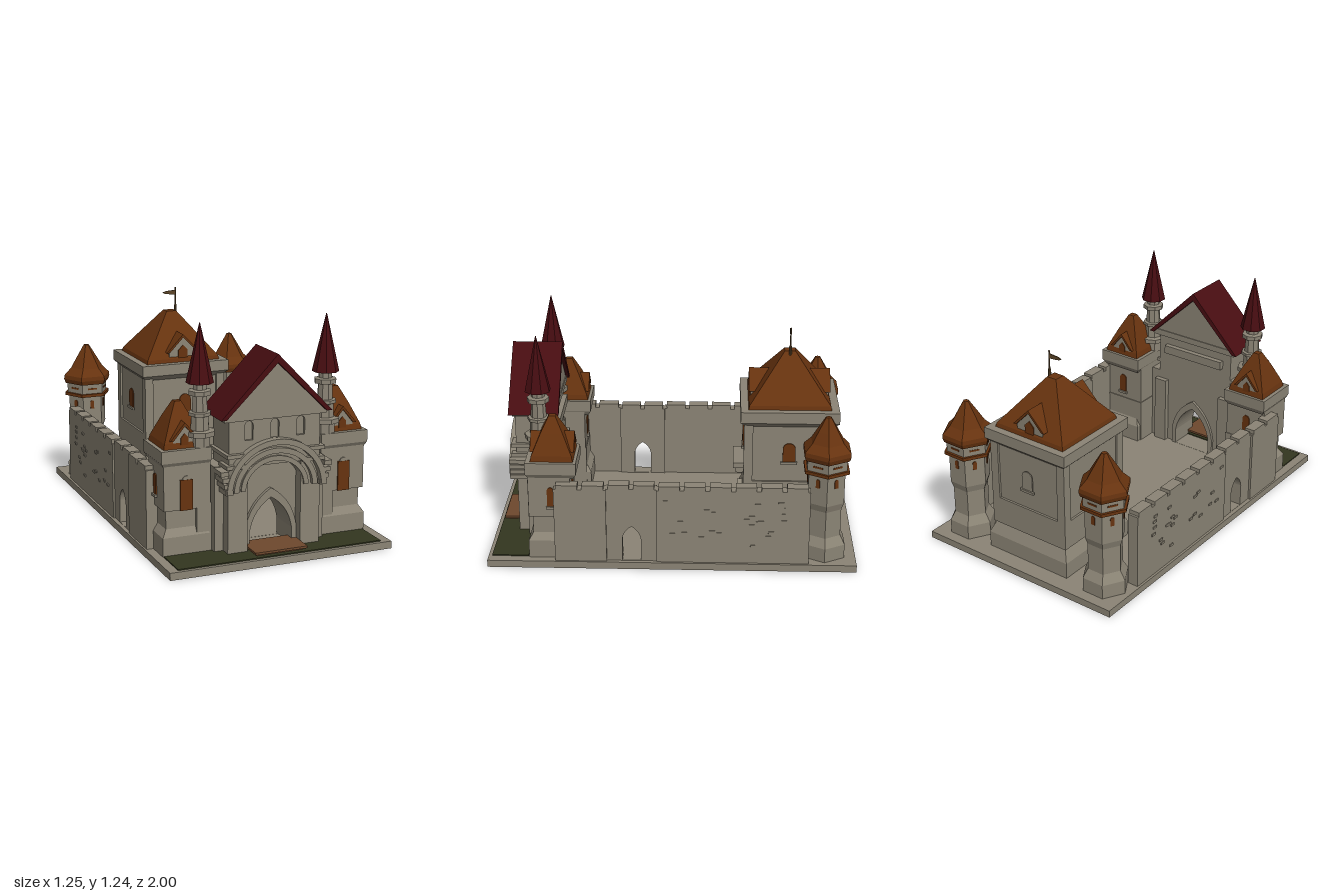
import * as THREE from 'three';

const mat = (name, color) => {
  const m = new THREE.MeshStandardMaterial({ color });
  m.name = name;
  return m;
};
const stone = mat('stone', 0x8b8475), tile = mat('orange tile', 0x67330f), red = mat('dark red tile', 0x470d11);
const grass = mat('grass', 0x33361f), plank = mat('plank wood', 0x6e482d), bronze = mat('flag bronze', 0x5c4528);

function add(parent, name, geometry, material, x = 0, y = 0, z = 0, ry = 0) {
  const m = new THREE.Mesh(geometry, material);
  m.name = name;
  m.position.set(x, y, z);
  m.rotation.y = ry;
  parent.add(m);
  return m;
}
const box = (p, name, m, x0, x1, y0, y1, z0, z1) =>
  add(p, name, new THREE.BoxGeometry(Math.abs(x1 - x0), y1 - y0, Math.abs(z1 - z0)), m, (x0 + x1) / 2, (y0 + y1) / 2, (z0 + z1) / 2);

// Faceted solid of revolution; pts run bottom to top as [radius, y]
function faceted(pts, sides, turn = 0) {
  const p = [[0, pts[0][1]], ...pts, [0, pts[pts.length - 1][1]]].map(([r, y]) => new THREE.Vector2(r, y));
  const g = new THREE.LatheGeometry(p, sides).toNonIndexed();
  g.rotateY(turn);
  g.computeVertexNormals();
  return g;
}
// Square section from half-widths
const square = pts => faceted(pts.map(([h, y]) => [h * Math.SQRT2, y]), 4, Math.PI / 4);
const extrude = (shape, depth) => new THREE.ExtrudeGeometry(shape, { depth, bevelEnabled: false, curveSegments: 12 });
const poly = pts => new THREE.Shape(pts.map(([x, y]) => new THREE.Vector2(x, y)));

// Arched opening outline: pointed, or round-headed
function arch(Kind, cx, w, y0, y1, pointed) {
  const s = new Kind(), h = w / 2, spring = y1 - (pointed ? w * 0.75 : h);
  s.moveTo(cx - h, y0);
  s.lineTo(cx + h, y0);
  s.lineTo(cx + h, spring);
  if (pointed) {
    s.quadraticCurveTo(cx + h * 0.85, y1 - w * 0.25, cx, y1);
    s.quadraticCurveTo(cx - h * 0.85, y1 - w * 0.25, cx - h, spring);
  } else s.absarc(cx, spring, h, 0, Math.PI, false);
  s.closePath();
  return s;
}
// Arched window plate on a face turned by ry, with a sill
function archWindow(p, w, y0, y1, x, z, ry, m = tile) {
  const g = new THREE.Group();
  g.name = 'window';
  g.position.set(x, 0, z);
  g.rotation.y = ry;
  add(g, 'windowPane', extrude(arch(THREE.Shape, 0, w, y0, y1), 0.006), m);
  box(g, 'windowSill', stone, -w * 0.65, w * 0.65, y0 - 0.014, y0, 0, 0.014);
  p.add(g);
}
// Gabled dormer, front at local z = 0, running back by depth
function dormer(p, w, h, depth, x, y, z, ry) {
  const g = new THREE.Group(), t = 0.018;
  g.name = 'dormer';
  g.position.set(x, y, z);
  g.rotation.y = ry;
  const k = h * 0.45;
  add(g, 'dormerWall', extrude(poly([[-w, 0], [w, 0], [w, k], [0, h], [-w, k]]), depth), stone, 0, 0, -depth);
  add(g, 'dormerRoof', extrude(poly([[-w - t, k - 0.012], [-w, k - 0.012], [0, h], [w, k - 0.012], [w + t, k - 0.012], [0, h + t]]), depth + 0.01), tile, 0, 0, -depth);
  add(g, 'dormerWindow', extrude(poly([[-w * .34, .015], [w * .34, .015], [w * .34, k], [0, h * .66], [-w * .34, k]]), 0.005), tile);
  p.add(g);
}

function buildGatehouse(root) {
  const g = new THREE.Group();
  g.name = 'gatehouse';
  root.add(g);
  // Lower wall with open gate
  const wall = poly([[-.31, .04], [.31, .04], [.31, .5], [-.31, .5]]);
  wall.holes.push(arch(THREE.Path, 0, .24, .04, .31, true));
  add(g, 'gateWall', extrude(wall, .15), stone, 0, 0, .66);
  const frame = arch(THREE.Shape, 0, .294, .04, .36, true);
  frame.holes.push(arch(THREE.Path, 0, .24, .041, .31, true));
  for (const z of [.81, .645]) add(g, 'gateFrame', extrude(frame, .02), stone, 0, 0, z);
  // Upper storey with recessed windows
  box(g, 'upperStorey', stone, -.255, .255, .5, .75, .66, .855);
  const face = poly([[-.255, .5], [.255, .5], [.255, .75], [-.255, .75]]);
  for (const x of [-.145, 0, .145]) face.holes.push(arch(THREE.Path, x, .046, .64, .74));
  add(g, 'upperFace', extrude(face, .015), stone, 0, 0, .855);
  box(g, 'eaveLedge', stone, -.285, .285, .745, .78, .64, .88);
  box(g, 'rearBeam', stone, -.2, .2, .64, .69, .63, .66);
  // Ribbed arches over the gate
  for (const [rx, ry, t, z] of [[.28, .265, .03, .91], [.235, .215, .028, .895], [.19, .17, .026, .88]]) {
    const rib = new THREE.Shape();
    rib.absellipse(0, .375, rx, ry, 0, Math.PI, false, 0);
    rib.absellipse(0, .375, rx - t, ry - t, Math.PI, 0, true, 0);
    rib.closePath();
    add(g, 'archRib', extrude(rib, .09), stone, 0, 0, z - .09);
  }
  for (const s of [-1, 1]) {
    box(g, 'gatePillar', stone, s * .15, s * .26, .04, .52, .8, .87);
    box(g, 'rearButtress', stone, s * .19, s * .27, .04, .45, .63, .66);
    box(g, 'lowerBand', stone, s * .15, s * .275, .5, .52, .78, .895);
    box(g, 'upperBand', stone, s * .17, s * .275, .557, .577, .66, .895);
    for (let i = 0; i < 4; i++)
      box(g, 'corbelStep', stone, s * (.245 + i * .008), s * (.285 + i * .009), .37 + i * .034, .394 + i * .034, .8, .905);
  }
  // Gable and steep roof
  add(g, 'gable', extrude(poly([[-.275, .775], [.275, .775], [0, 1.035]]), .235), stone, 0, 0, .645);
  add(g, 'gateRoof', extrude(poly([[-.31, .762], [-.28, .762], [0, 1.035], [.28, .762], [.31, .762], [0, 1.08]]), .275), red, 0, 0, .625);
  // Lawn and entrance boards
  box(root, 'lawn', grass, -.575, .57, .04, .046, .78, .98);
  const ramp = box(root, 'entranceBoards', plank, -.147, .147, .058, .07, .78, .97);
  box(root, 'boardSupport', plank, -.13, .13, .046, .058, .9, .95);
  ramp.rotation.x = .01;
}

function buildFrontTower(root, s) {
  const g = new THREE.Group(), cx = .448, cz = .645;
  g.name = 'frontTower';
  root.add(g);
  // Battered foot, recessed waist, wide upper body and cornice
  add(g, 'towerFoot', square([[.13, .04], [.13, .14], [.105, .18], [.105, .3]]), stone, s * cx, 0, cz);
  box(g, 'towerInnerFlank', stone, s * .31, s * .39, .04, .3, .54, .77);
  box(g, 'towerBody', stone, s * .315, s * .57, .28, .53, .545, .77);
  add(g, 'towerCornice', square([[.118, .505], [.136, .535], [.136, .6]]), stone, s * cx, 0, cz);
  add(g, 'towerRoof', square([[.115, .598], [.108, .63], [.06, .74], [.018, .825]]), tile, s * cx, 0, cz - .005);
  dormer(g, .062, .115, .09, s * cx, .602, cz + .103, 0);
  dormer(g, .062, .115, .09, s * cx, .602, cz - .113, Math.PI);
  // Shuttered front window and arched side and rear windows
  box(g, 'frontShutter', tile, s * .415, s * .483, .278, .44, .77, .778);
  add(g, 'shutterHead', extrude(arch(THREE.Shape, 0, .045, .43, .46), .006), stone, s * cx, 0, .77);
  archWindow(g, .036, .345, .455, s * .57, .65, s * Math.PI / 2);
  archWindow(g, .045, .345, .455, s * cx, .545, Math.PI);
  // Slender turret with rings and a tall spire
  const col = [[.056, .59], [.056, .65], [.08, .655], [.08, .68], [.051, .685], [.047, .755], [.06, .76], [.06, .777], [.043, .78],
    [.039, .862], [.06, .866], [.06, .89], [.037, .895], [.037, .935]];
  add(g, 'turret', faceted(col, 8), stone, s * .355, 0, .725);
  add(g, 'turretSpire', faceted([[.072, .928], [.002, 1.235]], 8, Math.PI / 8), red, s * .355, 0, .725);
}

function buildRearTower(root, s) {
  const g = new THREE.Group(), turn = Math.PI / 2;
  g.name = 'rearTower';
  g.position.set(s * .468, 0, -.827);
  root.add(g);
  add(g, 'shaft', faceted([[.128, .04], [.128, .12], [.098, .17], [.098, .325], [.112, .365], [.112, .55]], 6, turn), stone);
  add(g, 'lowerRing', faceted([[.137, .54], [.137, .558]], 6, turn), tile);
  add(g, 'lookout', faceted([[.122, .55], [.122, .63]], 6, turn), stone);
  add(g, 'towerRoof', faceted([[.134, .615], [.143, .64], [.14, .663], [.098, .705], [.062, .765], [.016, .84]], 6, turn), tile);
  // Slits in the lookout and small windows below, one per face
  for (let i = 0; i < 6; i++) {
    const f = new THREE.Group();
    f.name = 'towerFace';
    f.rotation.y = i * Math.PI / 3;
    box(f, 'lookoutSlit', tile, -.028, .028, .582, .592, .104, .108);
    add(f, 'smallWindow', extrude(arch(THREE.Shape, 0, .022, .465, .515), .005), tile, 0, 0, .096);
    g.add(f);
  }
}

function buildKeep(root) {
  const g = new THREE.Group();
  g.name = 'keep';
  g.position.z = -.637;
  root.add(g);
  add(g, 'keepBody', square([[.268, .04], [.268, .13], [.238, .2], [.238, .7]]), stone);
  add(g, 'keepCornice', square([[.238, .685], [.27, .715], [.27, .778]]), stone);
  add(g, 'keepRoof', square([[.228, .776], [.222, .8], [.03, 1.05]]), tile);
  for (let i = 0; i < 4; i++) {
    const a = i * Math.PI / 2;
    archWindow(g, .07, .48, .59, .246 * Math.sin(a), .246 * Math.cos(a), a, i === 2 ? stone : tile);
    // Raised corner strips framing each face
    const f = new THREE.Group();
    f.name = 'keepFace';
    f.rotation.y = a;
    for (const s of [-1, 1]) box(f, 'cornerStrip', stone, s * .2, s * .25, .2, .7, .23, .25);
    box(f, 'lowerStrip', stone, -.2, .2, .2, .36, .23, .25);
    g.add(f);
  }
  for (const a of [0, Math.PI]) dormer(g, .085, .138, .14, 0, .786, .215 * Math.cos(a), a);
  // Ledge over the keep door
  box(g, 'doorLedge', stone, -.12, .12, .38, .41, .24, .305);
  for (const x of [-.09, -.03, .03, .09]) box(g, 'ledgeCorbel', stone, x - .012, x + .012, .345, .38, .24, .29);
  const surround = arch(THREE.Shape, 0, .13, .04, .26, true);
  surround.holes.push(arch(THREE.Path, 0, .09, .041, .21, true));
  add(g, 'doorSurround', extrude(surround, .03), stone, 0, 0, .25);
  // Flag on a pole
  add(g, 'flagPole', faceted([[.009, 1.03], [.008, 1.08], [.004, 1.085], [.004, 1.187]], 8), bronze, .037);
  add(g, 'flag', extrude(poly([[.037, 1.143], [.037, 1.17], [-.02, 1.166], [-.045, 1.158], [-.03, 1.15], [0, 1.146]]), .006), bronze, 0, 0, -.003);
}

function buildWalls(root, s) {
  let seed = 7;
  const rnd = () => (seed = (seed * 16807) % 2147483647) / 2147483647;
  const g = new THREE.Group();
  g.name = 'curtainWall';
  root.add(g);
  // Battlemented sections, drawn along u = -z
  for (const [u0, u1, out, n] of [[-.63, -.35, .615, 2], [-.35, -.08, .602, 2], [-.08, .74, .612, 6]]) {
    const pts = [[u0, .04], [u1, .04]], step = (u1 - u0) / n;
    for (let i = n; i > 0; i--) {
      const a = u0 + i * step, b = a - step;
      pts.push([a, .465], [a - .012, .465], [a - .012, .488], [b + .012, .488], [b + .012, .465]);
    }
    pts.push([u0, .465]);
    const shape = poly(pts);
    if (n === 2 && u1 < 0 && u0 > -.5) shape.holes.push(arch(THREE.Path, -.215, .1, .042, .245, true));
    add(g, 'wallSection', extrude(shape, .062), stone, s > 0 ? out - .062 : -out, 0, 0, Math.PI / 2);
  }
  // Scattered proud bricks
  for (let i = 0; i < 22; i++) {
    const z = .02 - rnd() * .68, y = .12 + rnd() * .3;
    box(g, 'brick', stone, s * .61, s * .617, y, y + .013, z, z + .03);
  }
}

export function createModel() {
  const root = new THREE.Group();
  root.name = 'castle';
  box(root, 'base', stone, -.625, .625, 0, .04, -1, 1);
  buildGatehouse(root);
  buildKeep(root);
  for (const s of [-1, 1]) {
    buildFrontTower(root, s);
    buildRearTower(root, s);
    buildWalls(root, s);
  }
  return root;
}
